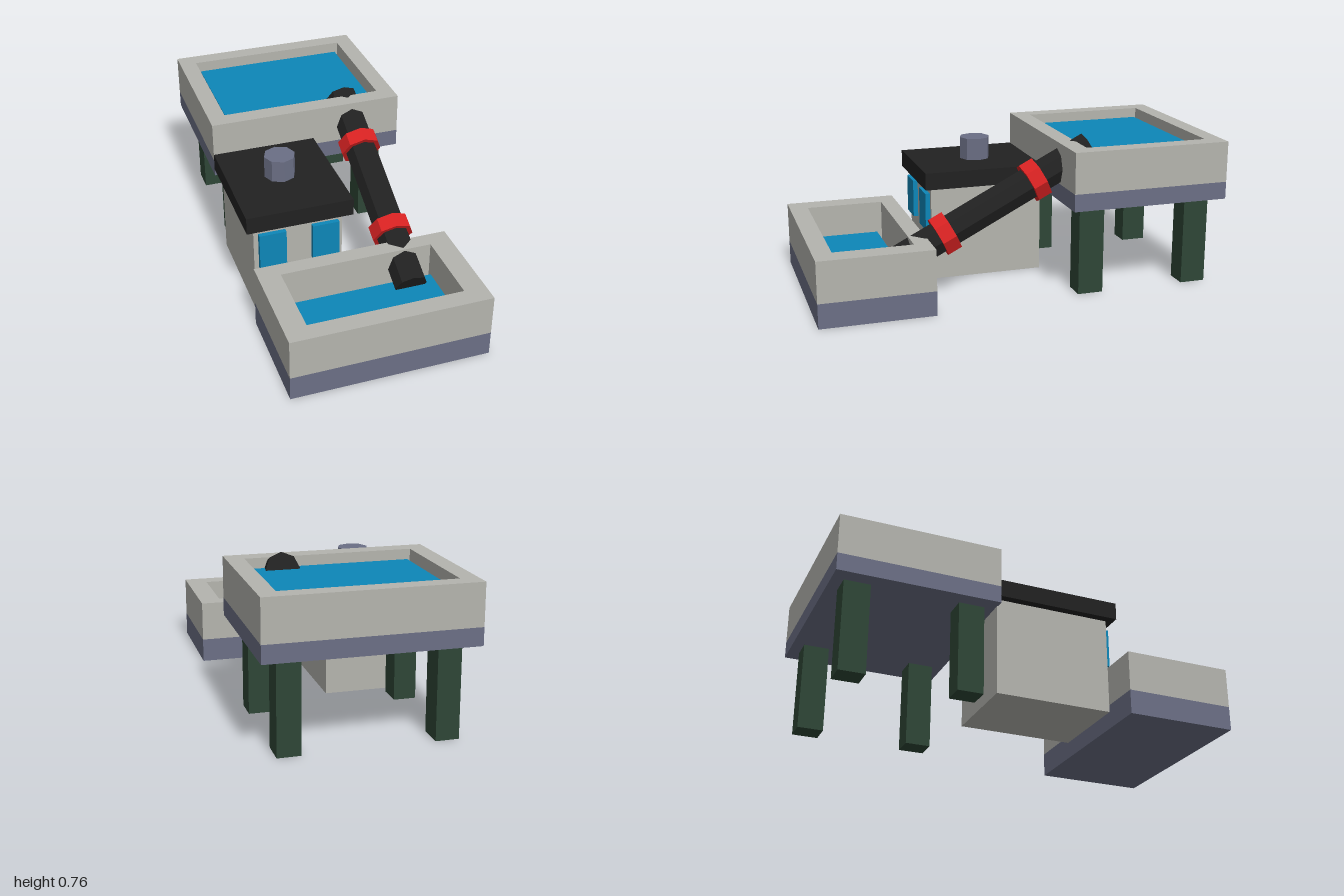
import * as THREE from 'three';

const mat = (name, color) => {
  const m = new THREE.MeshStandardMaterial({ color });
  m.name = name;
  return m;
};

export function createModel() {
  const concrete = mat('concrete grey', 0xb4b4ae);
  const slate = mat('slate', 0x6b6f85);
  const water = mat('water blue', 0x0d87b8);
  const black = mat('charcoal', 0x212121);
  const red = mat('red', 0xd82222);
  const green = mat('dark green', 0x2e4636);

  const model = new THREE.Group();
  model.name = 'waterWorks';

  const add = (parent, name, geometry, material) => {
    const mesh = new THREE.Mesh(geometry, material);
    mesh.name = name;
    parent.add(mesh);
    return mesh;
  };

  // Box given by its limits on each axis
  const box = (parent, name, material, [x0, x1], [y0, y1], [z0, z1]) => {
    const g = new THREE.BoxGeometry(x1 - x0, y1 - y0, z1 - z0);
    g.translate((x0 + x1) / 2, (y0 + y1) / 2, (z0 + z1) / 2);
    return add(parent, name, g, material);
  };

  // Eight-sided prism with flat facets
  const prism = (radius, height) =>
    new THREE.CylinderGeometry(radius, radius, height, 8).toNonIndexed();
  const faceted = (radius, height) => {
    const g = prism(radius, height);
    g.computeVertexNormals();
    return g;
  };

  const rectangle = (PathType, x, z0, z1) =>
    new PathType([[-x, -z1], [x, -z1], [x, -z0], [-x, -z0]].map(p => new THREE.Vector2(...p)));

  // Open basin: slate floor, rectangular wall with a hole, block of water
  const basin = (name, o) => {
    const group = new THREE.Group();
    group.name = name;
    box(group, 'basinFloor', slate, [-o.x, o.x], [o.y0, o.floor], o.z);
    const shape = rectangle(THREE.Shape, o.x, ...o.z);
    shape.holes.push(rectangle(THREE.Path, o.innerX, ...o.innerZ));
    const wall = new THREE.ExtrudeGeometry(shape, { depth: o.y1 - o.floor, bevelEnabled: false });
    wall.rotateX(-Math.PI / 2);
    wall.translate(0, o.floor, 0);
    add(group, 'basinWall', wall, concrete);
    box(group, 'water', water, [-o.waterX, o.waterX], [o.floor, o.level], o.waterZ);
    model.add(group);
    return group;
  };

  basin('lowerBasin', {
    x: 0.48, z: [0.45, 1], y0: 0, floor: 0.12, y1: 0.32,
    innerX: 0.373, innerZ: [0.53, 0.91], waterX: 0.372, waterZ: [0.555, 0.895], level: 0.16,
  });
  const upper = basin('upperBasin', {
    x: 0.49, z: [-1, -0.215], y0: 0.44, floor: 0.525, y1: 0.725,
    innerX: 0.405, innerZ: [-0.917, -0.302], waterX: 0.385, waterZ: [-0.9, -0.322], level: 0.68,
  });

  // Legs under the upper basin
  for (const x of [-0.36, 0.36])
    for (const z of [-0.333, -0.882])
      box(upper, 'leg', green, [x - 0.055, x + 0.055], [0, 0.44], [z - 0.063, z + 0.063]);

  // Pump house with roof, chimney and two windows
  const house = new THREE.Group();
  house.name = 'pumpHouse';
  model.add(house);
  box(house, 'houseWalls', concrete, [-0.45, -0.012], [0, 0.475], [-0.22, 0.35]);
  box(house, 'roof', black, [-0.49, 0.032], [0.475, 0.56], [-0.218, 0.387]);
  add(house, 'chimney', faceted(0.077, 0.11), slate).position.set(-0.231, 0.615, 0.062);
  for (const x of [-0.361, -0.099])
    box(house, 'window', water, [x - 0.066, x + 0.066], [0.25, 0.44], [0.35, 0.374]);

  // Sloping pipe between the basins, with two collars
  const pipeline = new THREE.Group();
  pipeline.name = 'pipeline';
  pipeline.position.set(0.24, 0.429, 0.124);
  pipeline.rotation.x = THREE.MathUtils.degToRad(-63);
  model.add(pipeline);
  add(pipeline, 'pipe', faceted(0.081, 1.122), black);
  for (const s of [-1, 1])
    add(pipeline, 'collar', faceted(0.103, 0.072), red).position.y = s * 0.252;

  return model;
}
